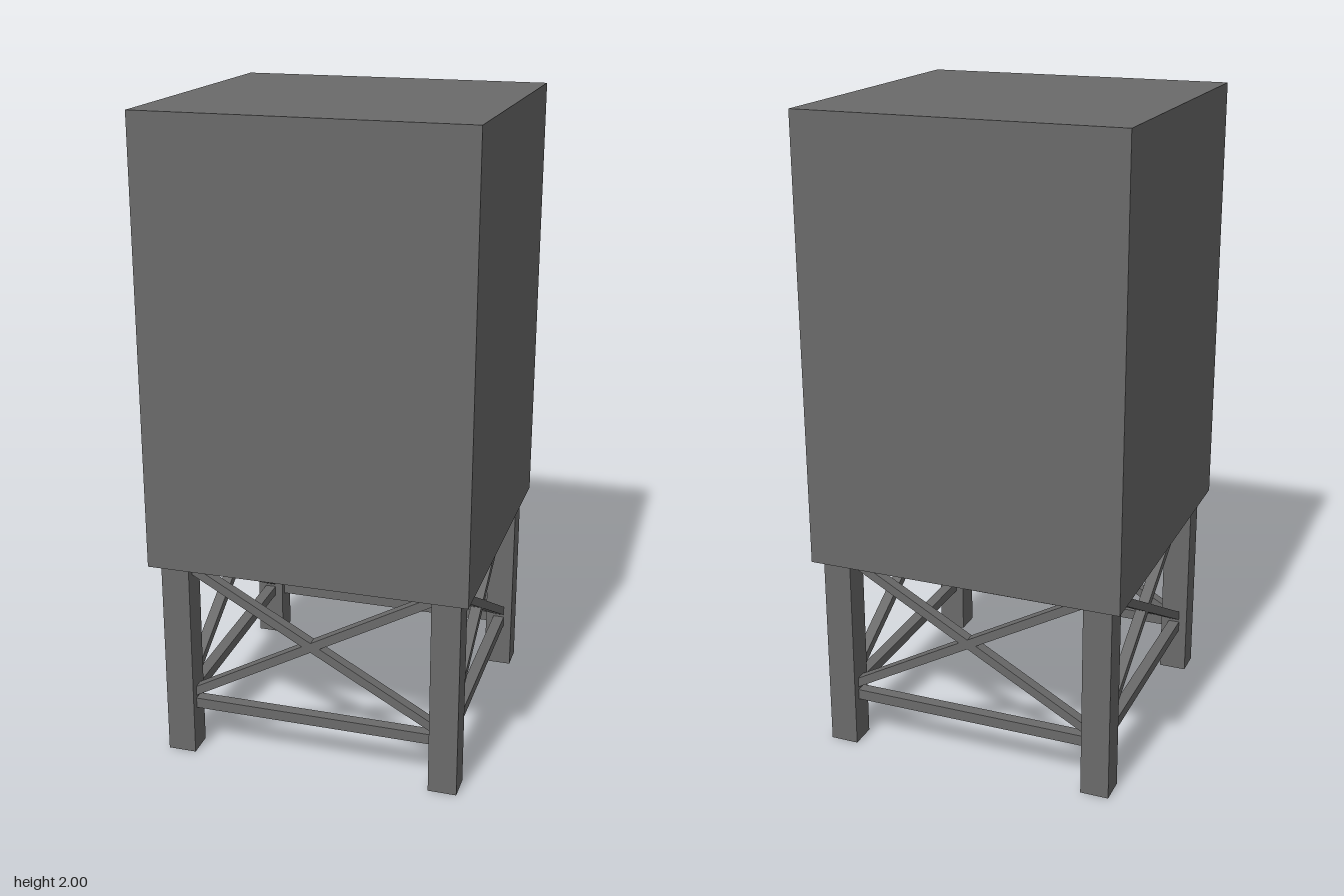
import * as THREE from 'three';

export function createModel() {
  const model = new THREE.Group();
  const grey = new THREE.MeshStandardMaterial({ color: 0x6a6a6a });
  grey.name = 'dark grey';

  const addBox = (parent, name, size, position) => {
    const mesh = new THREE.Mesh(new THREE.BoxGeometry(...size), grey);
    mesh.name = name;
    mesh.position.set(...position);
    parent.add(mesh);
    return mesh;
  };

  // Tank body, very slightly lower towards the back
  const tank = addBox(model, 'tank', [0.986, 1.366, 0.98], [-0.003, 1.314, 0.002]);
  const p = tank.geometry.attributes.position;
  for (let i = 0; i < p.count; i++) {
    const slope = p.getY(i) > 0 ? 0.006 : 0.012;
    p.setY(i, p.getY(i) + slope * (p.getZ(i) - (p.getY(i) > 0 ? 0.49 : 0)));
  }
  p.needsUpdate = true;
  tank.geometry.computeVertexNormals();

  // Four square legs
  const legAt = 0.42;
  for (const x of [-1, 1]) {
    for (const z of [-1, 1]) {
      addBox(model, 'leg', [0.088, 0.64, 0.084], [x * legAt, 0.32, z * legAt + 0.004]);
    }
  }

  // Each side has a lower rail and a pair of crossed braces
  const run = 0.8, rise = 0.442;
  for (let i = 0; i < 4; i++) {
    const side = new THREE.Group();
    side.name = 'sideBracing';
    side.rotation.y = i * Math.PI / 2;
    side.position.z = 0.004;
    addBox(side, 'lowerRail', [0.8, 0.033, 0.036], [0, 0.162, legAt]);
    for (const s of [-1, 1]) {
      const brace = addBox(side, 'crossBrace', [Math.hypot(run, rise), 0.027, 0.034], [0, 0.411, legAt]);
      brace.rotation.z = s * Math.atan2(rise, run);
    }
    model.add(side);
  }

  return model;
}
